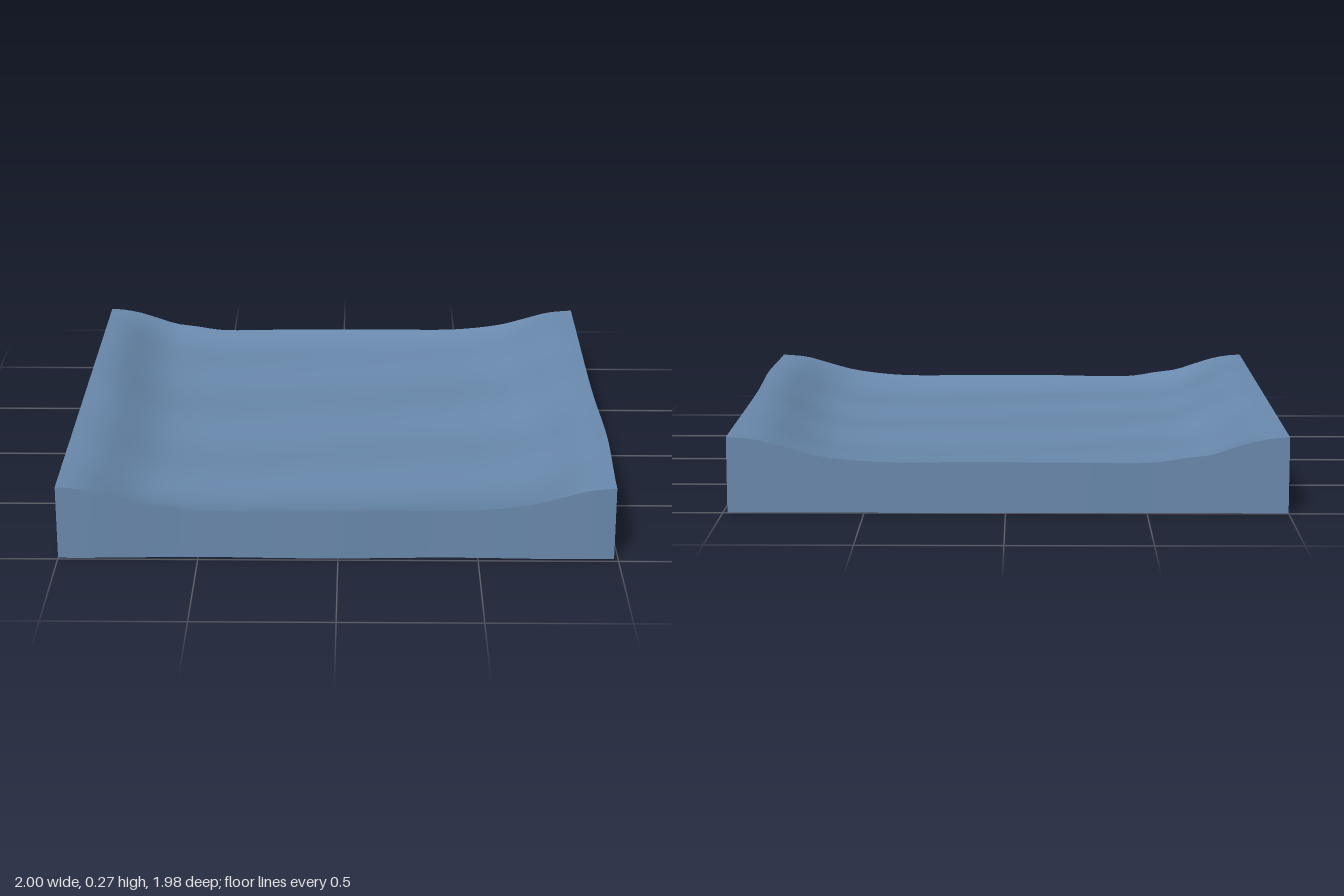
import * as THREE from 'three';

const N = 48; // grid cells per side

// Cross-section at the front and back edges: [x, height]
const rimProfile = [
  [-1, 0.278], [-0.94, 0.274], [-0.87, 0.26], [-0.8, 0.238], [-0.72, 0.213], [-0.64, 0.203],
  [-0.53, 0.186], [-0.4, 0.184], [-0.2, 0.187], [0.1, 0.188], [0.4, 0.187], [0.5, 0.19],
  [0.6, 0.199], [0.7, 0.214], [0.8, 0.241], [0.9, 0.268], [1, 0.277],
];

// Deeper cross-section through the middle, with steeper banks
const bedProfile = [
  [-1, 0.278], [-0.94, 0.272], [-0.88, 0.253], [-0.8, 0.207], [-0.72, 0.172], [-0.64, 0.158],
  [-0.5, 0.15], [-0.2, 0.146], [0.2, 0.145], [0.5, 0.15], [0.64, 0.162], [0.72, 0.178],
  [0.8, 0.212], [0.88, 0.255], [0.94, 0.272], [1, 0.277],
];

// Smooth interpolation through the profile points
function heightAt(profile, x) {
  const last = profile.length - 1;
  let i = 0;
  while (i < last - 1 && x > profile[i + 1][0]) i++;
  const slope = (k) => {
    const a = profile[Math.max(k - 1, 0)], b = profile[Math.min(k + 1, last)];
    return (b[1] - a[1]) / (b[0] - a[0]);
  };
  const [x0, y0] = profile[i], [x1, y1] = profile[i + 1];
  const w = x1 - x0, t = (x - x0) / w, t2 = t * t, t3 = t2 * t;
  return (2 * t3 - 3 * t2 + 1) * y0 + (t3 - 2 * t2 + t) * w * slope(i)
    + (3 * t2 - 2 * t3) * y1 + (t3 - t2) * w * slope(i + 1);
}

// Point of the upper sheet; u and v run from -1 to 1
function surfacePoint(u, v) {
  const depth = 1 - v ** 8;
  const inside = depth * (1 - u ** 6);
  const x0 = u - 0.03 * Math.sin(3 * v + 0.6) * inside;
  const ripple = -0.005 * Math.sin(10.5 * (v - 0.05) + 0.8 * Math.sin(2 * u))
    + 0.003 * Math.sin(6 * u + 4 * v);
  const y = THREE.MathUtils.lerp(heightAt(rimProfile, x0), heightAt(bedProfile, x0), depth)
    + ripple * inside;
  // Slightly uneven outline on the right, front and back edges
  const rightEdge = 0.984 + 0.014 * Math.exp(-(((v - 0.5) / 0.35) ** 2));
  const frontEdge = 0.981 + 0.005 * Math.sin(7 * u + 8.2) - 0.004 * u;
  const backEdge = 0.995 - 0.008 * Math.exp(-(((u + 0.6) / 0.25) ** 2));
  const x = u > 0 ? u * rightEdge : u;
  const z = v > 0 ? v * frontEdge : v * backEdge;
  return new THREE.Vector3(x, y, z);
}

// Upper sheet: a plane moved to the channel shape
function surfaceGeometry() {
  const geometry = new THREE.PlaneGeometry(2, 2, N, N).rotateX(-Math.PI / 2);
  const pos = geometry.attributes.position;
  for (let i = 0; i < pos.count; i++) {
    const p = surfacePoint(pos.getX(i), pos.getZ(i));
    pos.setXYZ(i, p.x, p.y, p.z);
  }
  geometry.computeVertexNormals();
  return geometry;
}

// Skirt wall hanging from one edge; edge(t) gives [u, v] for t from -1 to 1
function skirtGeometry(edge) {
  const points = [], index = [];
  for (let i = 0; i <= N; i++) {
    const t = (i / N) * 2 - 1;
    const p = surfacePoint(...edge(t));
    points.push(p.x, p.y, p.z, p.x, 0.005, p.z);
    if (i < N) {
      const a = i * 2;
      index.push(a, a + 1, a + 2, a + 2, a + 1, a + 3);
    }
  }
  const geometry = new THREE.BufferGeometry();
  geometry.setAttribute('position', new THREE.Float32BufferAttribute(points, 3));
  geometry.setIndex(index);
  geometry.computeVertexNormals();
  return geometry;
}

export function createModel() {
  const group = new THREE.Group();
  group.name = 'channelTile';
  const blue = new THREE.MeshStandardMaterial({ color: 0x6a8aae, side: THREE.DoubleSide });
  blue.name = 'slateBlue';

  const add = (name, geometry) => {
    const mesh = new THREE.Mesh(geometry, blue);
    mesh.name = name;
    group.add(mesh);
  };

  add('channelSurface', surfaceGeometry());
  // Four walls, open underneath
  add('frontWall', skirtGeometry((t) => [t, 1]));
  add('backWall', skirtGeometry((t) => [-t, -1]));
  add('leftWall', skirtGeometry((t) => [1, -t]));
  add('rightWall', skirtGeometry((t) => [-1, t]));
  return group;
}
